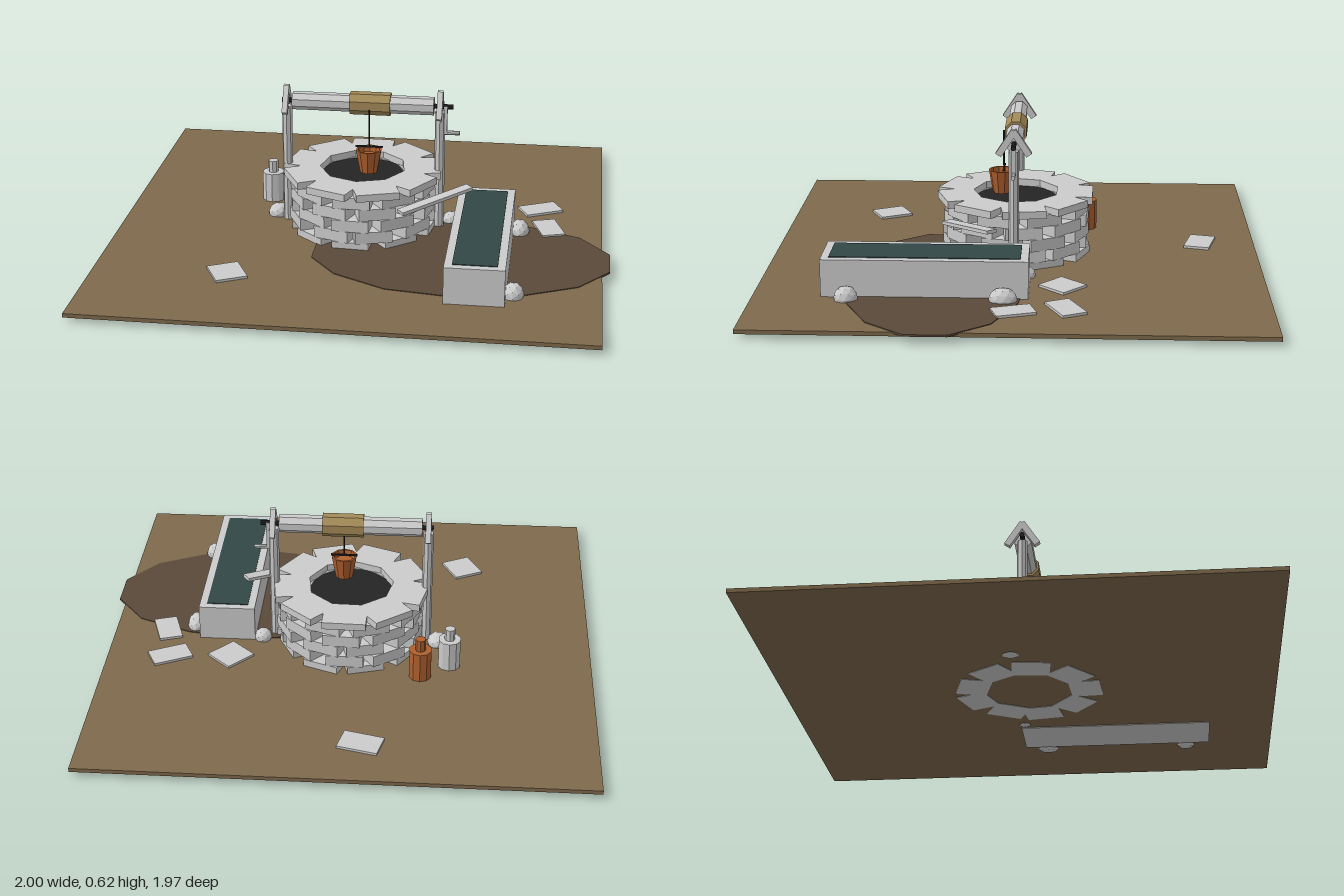
import * as THREE from 'three';

const mat = (name, color) => {
  const m = new THREE.MeshStandardMaterial({ color });
  m.name = name;
  m.flatShading = true;
  return m;
};

export function createModel() {
  const model = new THREE.Group();
  model.name = 'wellYard';
  const stone = mat('pale stone', 0xcbcbcb);
  const earth = mat('dry earth', 0x7e694c);
  const mud = mat('wet mud', 0x5a493a);
  const water = mat('trough water', 0x334747);
  const dark = mat('dark shaft and iron', 0x242424);
  const rope = mat('rope', 0xa38a58);
  const clay = mat('clay', 0xb0602f);
  clay.side = THREE.DoubleSide;

  const add = (name, geo, material, x = 0, y = 0, z = 0, parent = model) => {
    const mesh = new THREE.Mesh(geo, material);
    mesh.name = name;
    mesh.position.set(x, y, z);
    parent.add(mesh);
    return mesh;
  };
  const box = (w, h, d) => new THREE.BoxGeometry(w, h, d);
  const cyl = (rt, rb, h, n = 8) => new THREE.CylinderGeometry(rt, rb, h, n);
  const deg = THREE.MathUtils.degToRad;
  let seed = 7;
  const jitter = (a) => {
    seed = (seed * 16807) % 2147483647;
    return (seed / 2147483647 - 0.5) * 2 * a;
  };

  // Ground slab and muddy patch
  add('ground', box(1.97, 0.016, 1.97), earth, -0.015, 0.028, 0);
  const patch = new THREE.Shape([
    [1, 0.21], [1, 0.37], [0.88, 0.52], [0.63, 0.64], [0.38, 0.66], [0.15, 0.63], [-0.06, 0.52],
    [-0.17, 0.38], [-0.17, 0.22], [-0.05, 0.07], [0.18, -0.04], [0.42, -0.06], [0.66, -0.03], [0.88, 0.06],
  ].map(([x, z]) => new THREE.Vector2(x, -z)));
  const patchGeo = new THREE.ExtrudeGeometry(patch, { depth: 0.008, bevelEnabled: false });
  add('mudPatch', patchGeo.rotateX(-Math.PI / 2), mud, 0, 0.031, 0);

  // Well wall: staggered rings of blocks, capped by a wider ring
  const well = new THREE.Group();
  well.name = 'wellWall';
  well.position.set(-0.012, 0, 0);
  model.add(well);
  const ring = (name, y, h, inner, outer, width, start, wobble) => {
    for (let i = 0; i < 9; i++) {
      const a = deg(start + i * 40 + jitter(wobble));
      const r = (inner + outer) / 2 + jitter(wobble * 0.002);
      const block = add(name, box(outer - inner, h, width), stone, Math.cos(a) * r, y, Math.sin(a) * r, well);
      block.rotation.y = -a;
    }
  };
  for (let row = 0; row < 5; row++) {
    ring('wallStone', 0.042 + row * 0.048, 0.048, 0.165, 0.29, 0.15, row % 2 ? 32 : 12, 3);
  }
  ring('capStone', 0.27, 0.03, 0.165, 0.312, 0.175, 32, 0.6);
  add('shaftDarkness', cyl(0.2, 0.2, 0.01, 12), dark, 0, 0.25, 0, well);

  // Posts with gabled braces
  for (const x of [-0.325, 0.3]) {
    add('post', cyl(0.021, 0.021, 0.51), stone, x, 0.278, 0);
    for (const s of [-1, 1]) {
      const brace = add('gableBrace', box(0.022, 0.115, 0.026), stone, x, 0.566, s * 0.029);
      brace.rotation.x = -s * deg(33);
    }
  }

  // Windlass: log, wound rope, axle and crank
  const along = (name, r, x0, x1, y, z, material) => {
    const m = add(name, cyl(r, r, x1 - x0, 8), material, (x0 + x1) / 2, y, z);
    m.rotation.set(deg(22.5), 0, Math.PI / 2);
  };
  along('windlassLog', 0.037, -0.3, 0.275, 0.556, 0, stone);
  along('woundRope', 0.047, -0.065, 0.1, 0.556, 0, rope);
  along('axle', 0.01, -0.345, 0.352, 0.556, 0, dark);
  add('crankArm', box(0.014, 0.12, 0.02), stone, 0.322, 0.5, 0);
  along('crankHandle', 0.009, 0.315, 0.38, 0.445, 0, stone);

  // Hanging bucket
  const bucketGeo = new THREE.LatheGeometry([
    [0, 0], [0.036, 0], [0.053, 0.095], [0.045, 0.095], [0.041, 0.07], [0, 0.07],
  ].map(([r, y]) => new THREE.Vector2(r, y)), 10);
  add('bucket', bucketGeo, clay, 0.018, 0.286, 0.06);
  add('bucketBail', box(0.11, 0.006, 0.008), dark, 0.018, 0.389, 0.05);
  add('bucketRope', cyl(0.004, 0.004, 0.16, 6), dark, 0.018, 0.465, 0.05);

  // Trough with water
  const trough = new THREE.Group();
  trough.name = 'trough';
  trough.position.set(0.495, 0, 0.328);
  model.add(trough);
  for (const s of [-1, 1]) {
    add('troughSide', box(0.03, 0.167, 0.79), stone, s * 0.1, 0.1005, 0, trough);
    add('troughEnd', box(0.17, 0.167, 0.03), stone, 0, 0.1005, s * 0.38, trough);
  }
  add('troughFloor', box(0.17, 0.03, 0.73), stone, 0, 0.032, 0, trough);
  add('troughWater', box(0.17, 0.01, 0.73), water, 0, 0.182, 0, trough);

  // Sloping spout from the well to the trough
  const from = new THREE.Vector3(0.17, 0.202, 0.275);
  const to = new THREE.Vector3(0.43, 0.245, 0.08);
  const spout = add('spout', box(0.045, 0.014, from.distanceTo(to)), stone);
  spout.position.copy(from).lerp(to, 0.5);
  spout.lookAt(to);

  // Loose paving slabs: x, z, width, depth, turn
  for (const [x, z, w, d, turn] of [
    [-0.1, -0.76, 0.16, 0.105, -14], [-0.47, 0.567, 0.125, 0.14, 27], [0.465, -0.195, 0.13, 0.135, -43],
    [0.713, -0.21, 0.162, 0.1, 26], [0.752, -0.015, 0.095, 0.155, 18],
  ]) {
    add('pavingSlab', box(w, 0.016, d), stone, x, 0.038, z).rotation.y = deg(turn);
  }

  // Half-buried rocks: x, z, radii
  for (const [x, z, rx, ry, rz] of [
    [-0.375, -0.04, 0.043, 0.036, 0.047], [0.348, -0.05, 0.036, 0.034, 0.038],
    [0.635, 0.028, 0.04, 0.045, 0.055], [0.637, 0.623, 0.042, 0.045, 0.046],
  ]) {
    add('rock', new THREE.IcosahedronGeometry(1, 1), stone, x, 0.045, z).scale.set(rx, ry, rz);
  }

  // Two jugs beside the well
  for (const [x, z, material] of [[-0.425, -0.2, stone], [-0.31, -0.285, clay]]) {
    add('jugBody', cyl(0.046, 0.046, 0.125, 10), material, x, 0.098, z);
    add('jugNeck', cyl(0.021, 0.021, 0.05, 8), material, x, 0.185, z);
  }
  return model;
}
